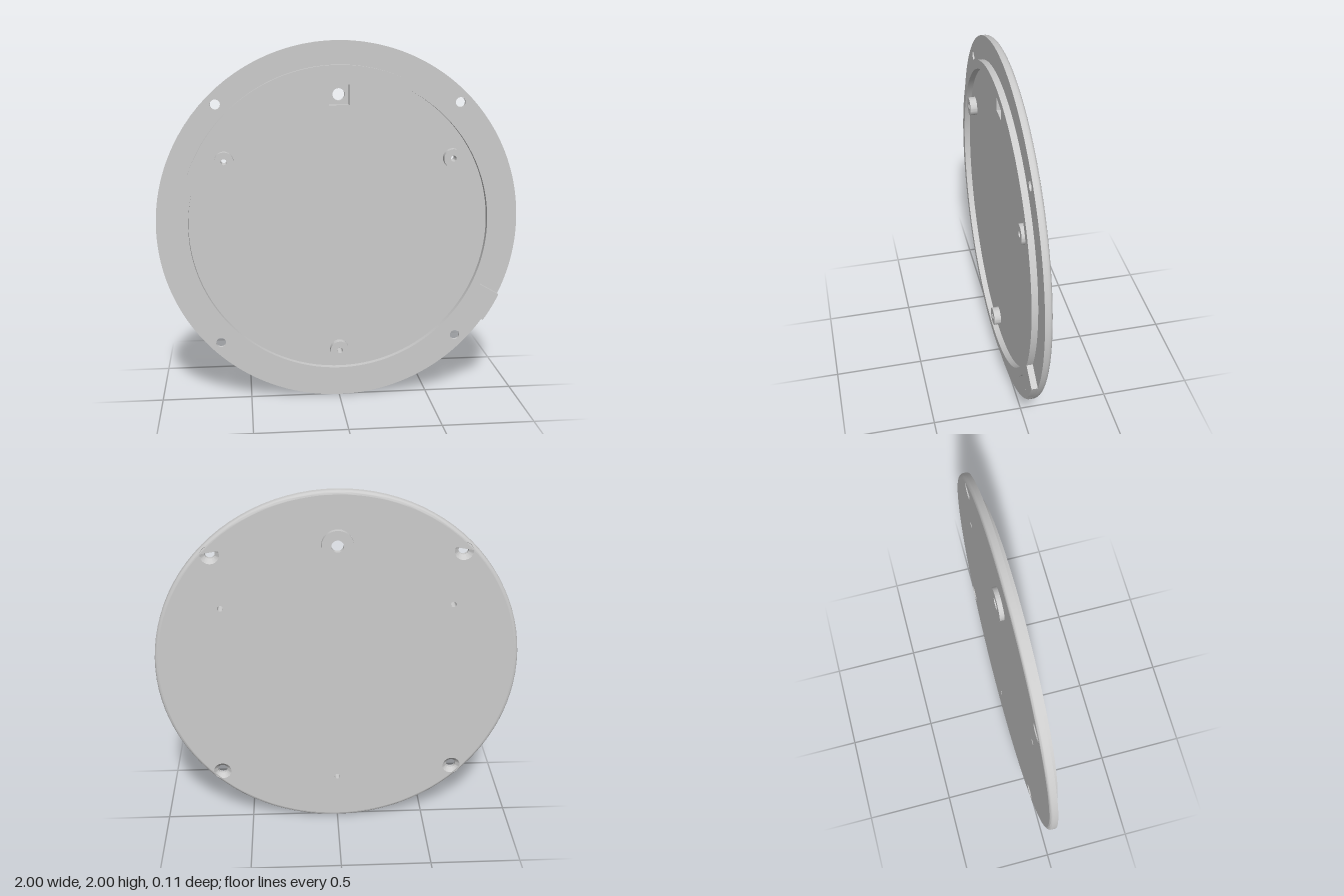
import * as THREE from 'three';
import { toCreasedNormals } from 'three/addons/utils/BufferGeometryUtils.js';

const SEG = 96;
// Depth levels along z
const BACK = -0.029, FRONT = 0.013, RING_TOP = 0.046, BOSS_TOP = 0.052;
const HUB_BACK = -0.053, POCKET_FLOOR = -0.025;
// Radii
const R = 1, FILLET = 0.02, SCREW = 0.027, SINK = 0.05, PILOT = 0.016, BOSS = 0.052;
const HUB = 0.085, HUB_BORE = 0.033, POCKET = 0.055;
// Hole centres, relative to the disc centre
const screws = [[0.665, 0.665], [-0.665, 0.665], [-0.665, -0.665], [0.665, -0.665]];
const bosses = [90, 210, 330].map((d) => {
  const a = THREE.MathUtils.degToRad(d + 180);
  return [0.722 * Math.cos(a), 0.722 * Math.sin(a)];
});
const hub = [0, 0.71];

const circle = (r, [x, y] = [0, 0], Type = THREE.Path) => new Type().absarc(x, y, r, 0, Math.PI * 2, false);

function square(h, [x, y], Type = THREE.Path) {
  return new Type([[-h, -h], [h, -h], [h, h], [-h, h]].map(([a, b]) => new THREE.Vector2(x + a, y + b)));
}

export function createModel() {
  const model = new THREE.Group();
  const disc = new THREE.Group();
  disc.name = 'coverPlate';
  disc.position.y = 1;
  model.add(disc);
  const material = new THREE.MeshStandardMaterial({ color: 0xcccccc });

  function add(name, geometry, x = 0, y = 0, z = 0) {
    const mesh = new THREE.Mesh(geometry, material);
    mesh.name = name;
    mesh.position.set(x, y, z);
    disc.add(mesh);
    return mesh;
  }

  // Turned surface about z from [radius, z] points
  function turned(name, points, [x, y] = [0, 0]) {
    const g = new THREE.LatheGeometry(points.map((p) => new THREE.Vector2(...p)), SEG);
    g.rotateX(Math.PI / 2);
    add(name, toCreasedNormals(g, 0.5), x, y);
  }

  // Flat face with holes, optionally facing backwards
  function face(name, shape, holes, z, backwards = false) {
    shape.holes.push(...holes);
    const g = new THREE.ShapeGeometry(shape, SEG);
    if (backwards) {
      const index = g.index.array;
      for (let i = 0; i < index.length; i += 3) [index[i], index[i + 1]] = [index[i + 1], index[i]];
      g.computeVertexNormals();
    }
    add(name, g, 0, 0, z);
  }

  // Plate faces
  face('plateFront', circle(R, [0, 0], THREE.Shape), [
    ...screws.map((p) => circle(SCREW, p)),
    ...bosses.map((p) => circle(BOSS, p)),
    square(POCKET, hub),
  ], FRONT);
  face('plateBack', circle(R - FILLET, [0, 0], THREE.Shape), [
    ...screws.map((p) => circle(SINK, p)),
    ...bosses.map((p) => circle(PILOT, p)),
    circle(HUB, hub),
  ], BACK, true);

  // Rim with a rounded back edge
  const rim = [];
  for (let i = 0; i <= 8; i++) {
    const a = (i / 8) * Math.PI / 2;
    rim.push([R - FILLET + FILLET * Math.sin(a), BACK + FILLET - FILLET * Math.cos(a)]);
  }
  turned('plateRim', [...rim, [R, FRONT]]);

  // Countersunk screw holes
  for (const p of screws) turned('screwHole', [[SCREW, FRONT], [SCREW, BACK + 0.023], [SINK, BACK]], p);

  // Front bosses with pilot holes through the plate
  for (const p of bosses) {
    turned('screwBoss', [[BOSS, FRONT], [BOSS, BOSS_TOP], [PILOT, BOSS_TOP], [PILOT, BACK]], p);
  }

  // Square pocket with the round hub behind it
  face('pocketFloor', square(POCKET, hub, THREE.Shape), [circle(HUB_BORE, hub)], POCKET_FLOOR);
  const depth = FRONT - POCKET_FLOOR;
  for (let i = 0; i < 4; i++) {
    const g = new THREE.PlaneGeometry(2 * POCKET, depth);
    g.rotateX(Math.PI / 2).translate(0, POCKET, 0).rotateZ(i * Math.PI / 2);
    add('pocketWall', g, ...hub, POCKET_FLOOR + depth / 2);
  }
  turned('backHub', [[HUB_BORE, POCKET_FLOOR], [HUB_BORE, HUB_BACK], [HUB, HUB_BACK], [HUB, BACK]], hub);

  // Raised ring with a tab reaching the rim
  const outer = 0.872, reach = 0.998, tabHalf = 0.086, a = -Math.PI / 6;
  const wide = Math.asin(tabHalf / outer), narrow = Math.asin(tabHalf / reach);
  const ring = new THREE.Shape();
  ring.absarc(0, 0, reach, a - narrow, a + narrow, false);
  ring.absarc(0, 0, outer, a + wide, a - wide + Math.PI * 2, false);
  ring.closePath();
  ring.holes.push(circle(0.825));
  const ringGeometry = new THREE.ExtrudeGeometry(ring, {
    depth: RING_TOP - FRONT, bevelEnabled: false, curveSegments: SEG,
  });
  add('raisedRing', toCreasedNormals(ringGeometry, 0.5), 0, 0, FRONT);

  return model;
}
